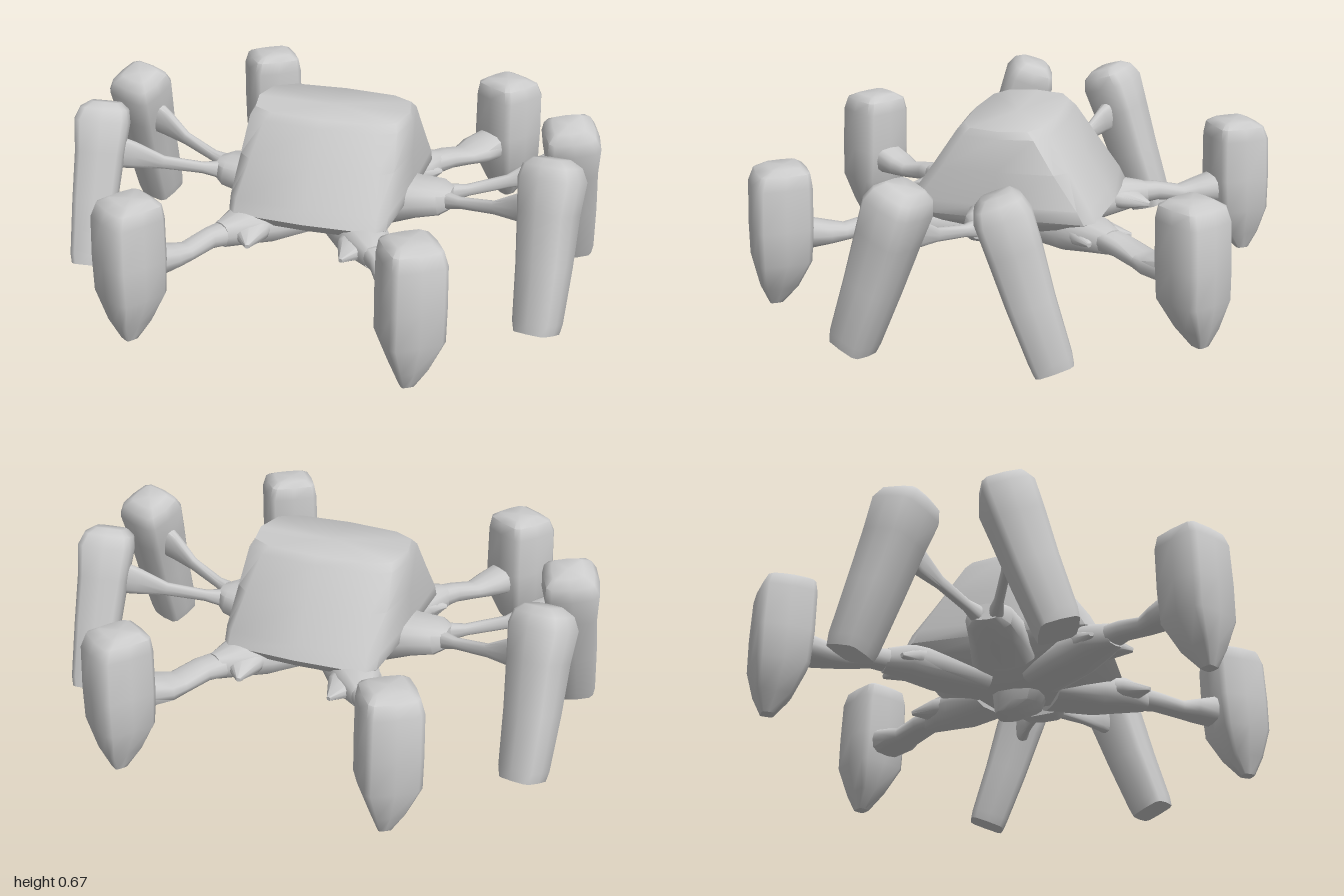
import * as THREE from 'three';
import { toCreasedNormals } from 'three/addons/utils/BufferGeometryUtils.js';

const material = new THREE.MeshStandardMaterial({ color: 0xcccccc });
const SIDES = 12;

// Skin over rings [x, y, z, halfU, halfV, power] set square to the axis; a lower power gives a boxier ring.
function loft(name, rings, axis, uDir, power = 0.5) {
  const d = new THREE.Vector3(...axis).normalize();
  const u = new THREE.Vector3(...uDir).normalize();
  const v = new THREE.Vector3().crossVectors(d, u);
  // Near-zero sines are snapped so the side points stay on the axes
  const bend = (t, k) => (Math.abs(t) < 1e-6 ? 0 : Math.sign(t) * Math.abs(t) ** k);
  const pos = [], index = [];
  for (const [x, y, z, a, b, k = power] of rings) {
    for (let i = 0; i < SIDES; i++) {
      const t = (i / SIDES) * Math.PI * 2;
      const p = new THREE.Vector3(x, y, z)
        .addScaledVector(u, a * bend(Math.cos(t), k))
        .addScaledVector(v, b * bend(Math.sin(t), k));
      pos.push(p.x, p.y, p.z);
    }
  }
  const last = rings.length - 1;
  const c0 = pos.length / 3, c1 = c0 + 1;
  pos.push(...rings[0].slice(0, 3), ...rings[last].slice(0, 3));
  for (let i = 0; i < SIDES; i++) {
    const j = (i + 1) % SIDES;
    for (let r = 0; r < last; r++) {
      const a = r * SIDES + i, b = r * SIDES + j;
      index.push(a, b, b + SIDES, a, b + SIDES, a + SIDES);
    }
    index.push(c0, j, i, c1, last * SIDES + i, last * SIDES + j);
  }
  const geo = new THREE.BufferGeometry();
  geo.setAttribute('position', new THREE.Float32BufferAttribute(pos, 3));
  geo.setIndex(index);
  const mesh = new THREE.Mesh(toCreasedNormals(geo, 0.9), material);
  mesh.name = name;
  return mesh;
}

// Limb running along its first-to-last ring, with a level cross direction.
function limb(name, rings, power = 0.7) {
  const a = rings[0], b = rings[rings.length - 1];
  const d = [b[0] - a[0], b[1] - a[1], b[2] - a[2]];
  return loft(name, rings, d, [d[2], 0, -d[0]], power);
}

// Diagonal leg: socket, two spurs, arm and upright tapered foot.
function cornerLeg(sx, sz) {
  const g = new THREE.Group();
  g.name = 'cornerLeg';
  const at = (rings) => rings.map(([x, y, z, a, b]) => [x * sx, y, z * sz, a, b]);
  g.add(limb('cornerSocket', at([
    [0.08, 0.25, 0.11, 0.10, 0.05], [0.19, 0.275, 0.27, 0.10, 0.065],
    [0.25, 0.29, 0.36, 0.085, 0.06], [0.30, 0.285, 0.44, 0.045, 0.045],
  ])));
  g.add(limb('frontSpur', at([
    [0.22, 0.29, 0.32, 0.09, 0.045], [0.20, 0.285, 0.40, 0.065, 0.035], [0.18, 0.275, 0.485, 0.008, 0.008],
  ])));
  g.add(limb('sideSpur', at([
    [0.24, 0.29, 0.30, 0.07, 0.04], [0.29, 0.285, 0.33, 0.045, 0.03], [0.34, 0.28, 0.36, 0.008, 0.008],
  ])));
  // The back left arm is stouter than the rest
  const w = sx > 0 && sz < 0 ? 1.4 : 1;
  g.add(limb('cornerArm', at([
    [0.26, 0.285, 0.38, 0.055, 0.045], [0.33, 0.285, 0.48, 0.042 * w, 0.035], [0.385, 0.265, 0.57, 0.045 * w, 0.03],
    [0.42, 0.27, 0.62, 0.06 * w, 0.04], [0.48, 0.28, 0.71, 0.07, 0.06],
  ])));
  g.add(loft('cornerFoot', at([
    [0.52, 0.01, 0.805, 0.025, 0.025], [0.52, 0.08, 0.79, 0.068, 0.06], [0.52, 0.19, 0.775, 0.104, 0.108],
    [0.52, 0.32, 0.77, 0.11, 0.108], [0.52, 0.48, 0.765, 0.108, 0.106],
    [0.515, 0.53, 0.76, 0.095, 0.095], [0.51, 0.55, 0.755, 0.06, 0.065],
  ]), [0, 1, 0], [0.57 * sx, 0, 0.82 * sz], 0.36));
  return g;
}

// Side leg: thin arm reaching a long, slightly twisted foot that leans away from the middle.
function sideLeg(sx, sz) {
  const g = new THREE.Group();
  g.name = 'sideLeg';
  const at = (rings) => rings.map(([x, y, z, a, b]) => [x * sx, y, z * sz, a, b]);
  g.add(limb('sideArm', at([
    [0.42, 0.345, 0.02, 0.035, 0.04], [0.52, 0.36, 0.06, 0.018, 0.022], [0.66, 0.39, 0.12, 0.016, 0.026],
    [0.76, 0.425, 0.165, 0.022, 0.055], [0.85, 0.45, 0.20, 0.04, 0.07],
  ])));
  g.add(loft('sideFoot', at([
    [0.885, 0.033, 0.362, 0.07, 0.073], [0.885, 0.07, 0.35, 0.078, 0.078], [0.885, 0.27, 0.28, 0.088, 0.088],
    [0.88, 0.45, 0.222, 0.096, 0.098], [0.88, 0.565, 0.183, 0.108, 0.102],
    [0.875, 0.61, 0.165, 0.094, 0.085], [0.87, 0.635, 0.158, 0.06, 0.055],
  ]), [0, 0.94, -0.34 * sz], [0.94 * sx, 0.116, 0.32 * sz], 0.45));
  return g;
}

export function createModel() {
  const model = new THREE.Group();
  model.name = 'eightLeggedWalker';

  // Wedge body: boxy foot, sloping front and back, corners rounding off towards the top
  model.add(loft('body', [
    [0, 0.21, 0, 0.11, 0.10], [0, 0.25, 0, 0.22, 0.19], [0, 0.30, 0, 0.345, 0.275], [0, 0.34, 0, 0.38, 0.315],
    [0, 0.39, 0, 0.355, 0.318, 0.22], [0, 0.52, 0, 0.27, 0.314, 0.34],
    [0, 0.645, 0, 0.19, 0.31, 0.5], [0, 0.672, 0, 0.165, 0.30, 0.6],
  ], [0, 1, 0], [0, 0, 1], 0.2));
  model.add(loft('bellyPod', [
    [0, 0.14, -0.04, 0.045, 0.06], [0, 0.17, 0, 0.09, 0.085], [0, 0.25, 0.01, 0.11, 0.10],
  ], [0, 1, 0], [0, 0, 1], 0.7));

  for (const sx of [1, -1]) {
    model.add(limb('sideSocket', [
      [0.22 * sx, 0.32, 0, 0.13, 0.09], [0.34 * sx, 0.335, 0, 0.105, 0.065],
      [0.43 * sx, 0.345, 0, 0.09, 0.055], [0.475 * sx, 0.35, 0, 0.05, 0.035],
    ], 0.6));
    for (const sz of [1, -1]) model.add(cornerLeg(sx, sz), sideLeg(sx, sz));
  }
  return model;
}
